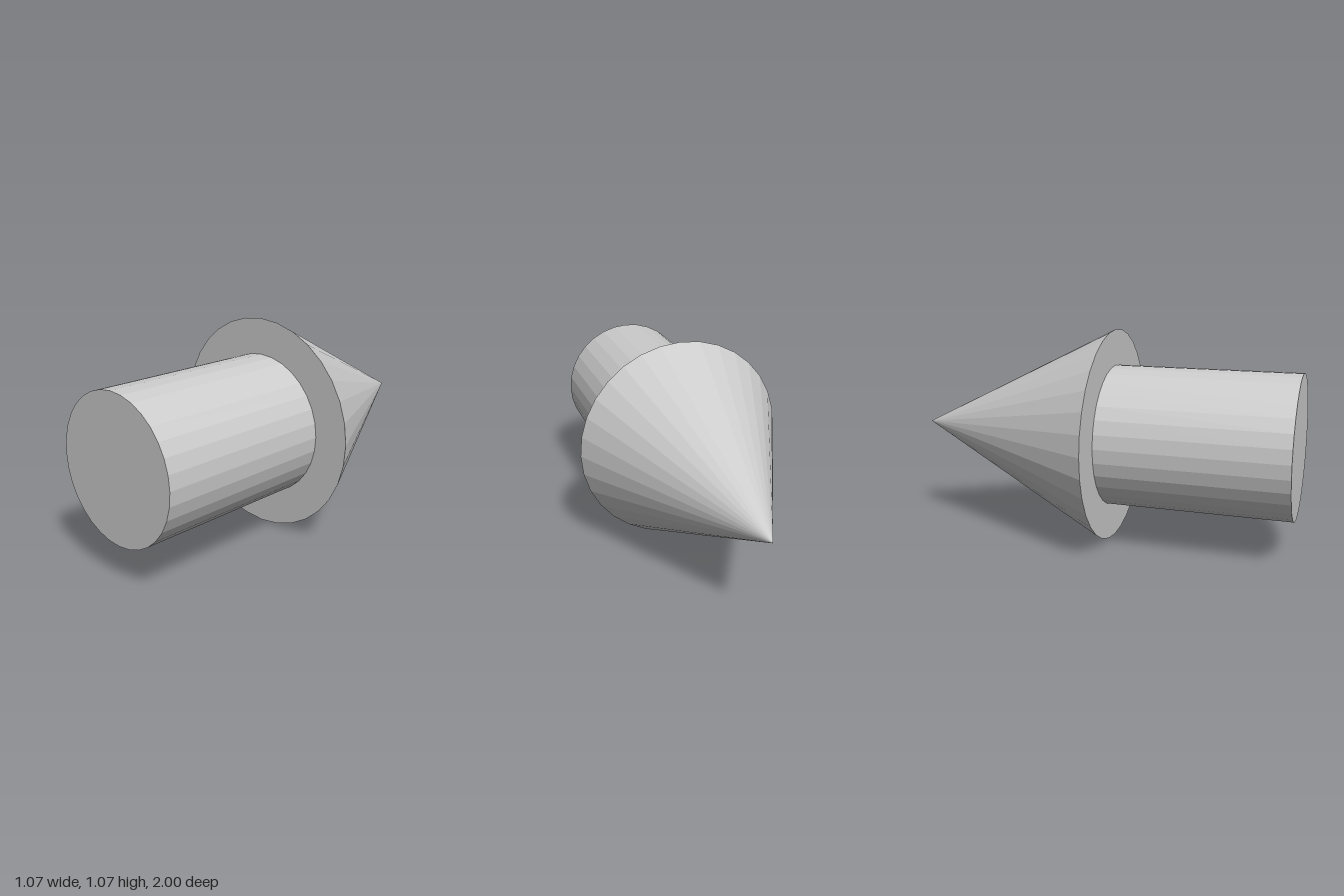
import * as THREE from 'three';

const SIDES = 32;
const AXIS_Y = 0.537;   // height of the arrow's axis
const NECK_Z = 0.072;   // where shaft and head meet

export function createModel() {
  const group = new THREE.Group();
  group.name = 'arrow';
  const material = new THREE.MeshStandardMaterial({ color: 0xcccccc, flatShading: true });

  // Adds a round part lying along z, its top end pointing to -z
  function addPart(name, topRadius, bottomRadius, zFront, zBack) {
    const length = zFront - zBack;
    const geometry = topRadius === 0
      ? new THREE.ConeGeometry(bottomRadius, length, SIDES)
      : new THREE.CylinderGeometry(topRadius, bottomRadius, length, SIDES);
    geometry.rotateX(-Math.PI / 2);
    const mesh = new THREE.Mesh(geometry, material);
    mesh.name = name;
    mesh.position.set(0, AXIS_Y, (zFront + zBack) / 2);
    group.add(mesh);
  }

  addPart('shaft', 0.357, 0.357, 1, NECK_Z);
  addPart('arrowhead', 0, 0.537, NECK_Z, -1);

  return group;
}
